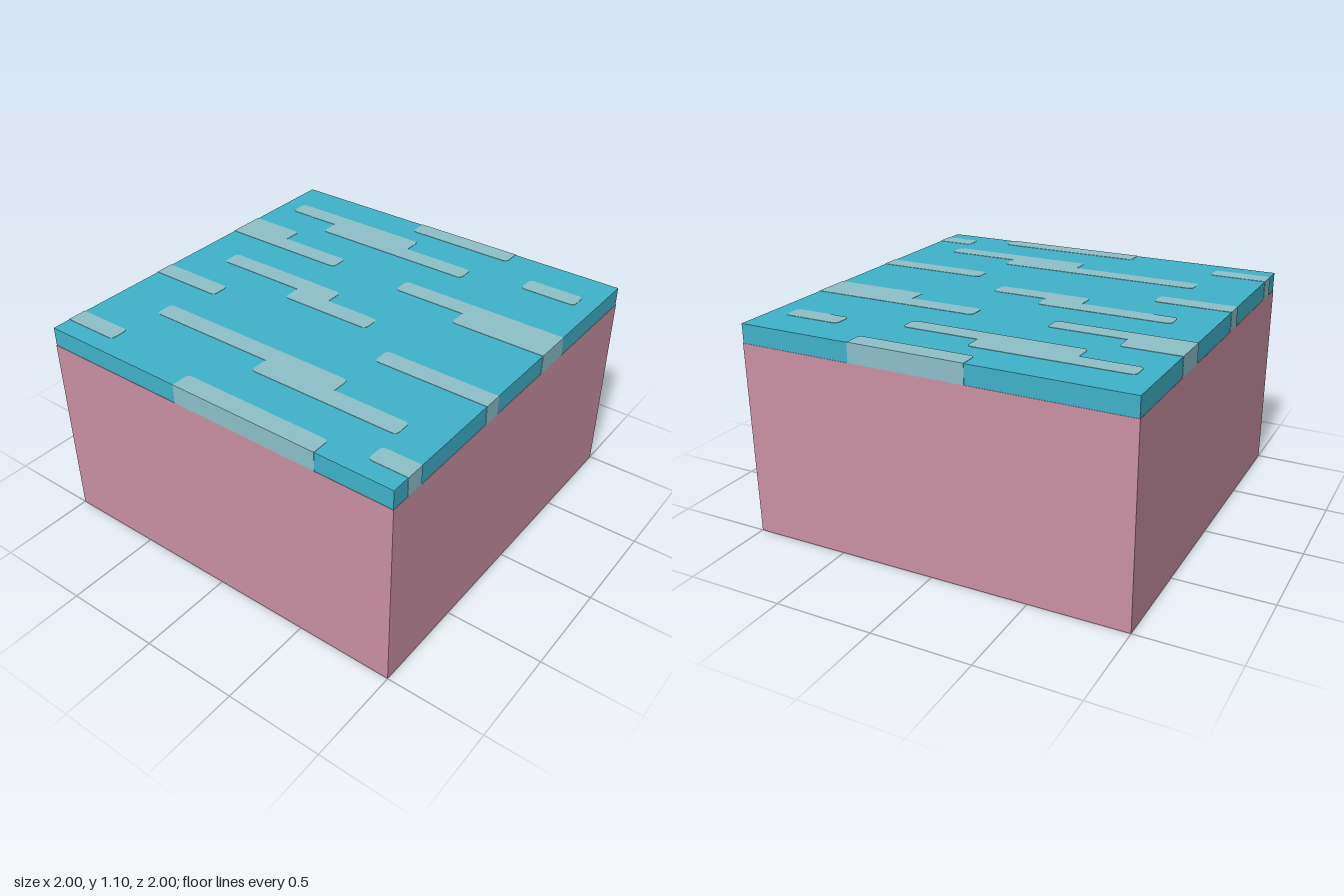
import * as THREE from 'three';

const GROUND_TOP = 1, TOP = 1.1, ROW = 0.1, RADIUS = 0.025, INSET = 0.002;

// Each streak: back edge z, then the x range of each row towards the front
const STREAKS = [
  [-1.0, [-0.2, 0.4]],
  [-0.8, [-0.9, -0.1], [-0.6, 0.3]],
  [-0.8, [0.6, 0.9]],
  [-0.5, [-1, -0.7], [-1, -0.3]],
  [-0.4, [0.1, 1], [0.5, 1]],
  [-0.1, [-0.8, -0.1], [-0.3, 0.2]],
  [0.2, [-1, -0.6]],
  [0.2, [0.4, 1]],
  [0.5, [-0.7, 0.4], [0, 0.8]],
  [0.8, [-1, -0.7]],
  [0.8, [0.8, 1]],
  [0.9, [-0.2, 0.6]],
];

// Stepped outline with rounded outer corners, square where it meets the block edge
function streakShape(z0, rows) {
  const right = [], left = [];
  rows.forEach(([a, b], i) => {
    const za = z0 + i * ROW, zb = za + ROW;
    right.push([b, -za], [b, -zb]);
    left.unshift([a, -zb], [a, -za]);
  });
  const points = [...right, ...left].map(([x, y]) => new THREE.Vector2(x, y));
  const corners = points.filter((p, i) => p.distanceTo(points[(i + 1) % points.length]) > 1e-6);
  const shape = new THREE.Shape();
  corners.forEach((p, i) => {
    const before = corners.at(i - 1), after = corners[(i + 1) % corners.length];
    const into = p.clone().sub(before).normalize();
    const out = after.clone().sub(p).normalize();
    const onEdge = Math.max(Math.abs(p.x), Math.abs(p.y)) > 0.999;
    const r = into.cross(out) < -0.5 && !onEdge ? RADIUS : 0;
    const start = p.clone().addScaledVector(into, -r);
    const end = p.clone().addScaledVector(out, r);
    if (i === 0) shape.moveTo(start.x, start.y);
    else shape.lineTo(start.x, start.y);
    if (r) shape.quadraticCurveTo(p.x, p.y, end.x, end.y);
  });
  shape.closePath();
  return shape;
}

export function createModel() {
  const group = new THREE.Group();
  group.name = 'waterBlock';

  const material = (name, color) => {
    const m = new THREE.MeshStandardMaterial({ color });
    m.name = name;
    return m;
  };
  const pink = material('pinkGround', 0xca90a4);
  const blue = material('waterBlue', 0x40b3ca);
  const pale = material('paleFoam', 0x8dc0ca);

  const add = (name, geometry, mat, y) => {
    const mesh = new THREE.Mesh(geometry, mat);
    mesh.name = name;
    mesh.position.y = y;
    group.add(mesh);
  };

  // Ground block
  add('ground', new THREE.BoxGeometry(2, GROUND_TOP, 2), pink, GROUND_TOP / 2);

  // Water layer, a hair smaller than the streaks that run through it
  const depth = TOP - GROUND_TOP, waterHeight = depth - INSET;
  const width = 2 - 2 * INSET;
  add('water', new THREE.BoxGeometry(width, waterHeight, width), blue, GROUND_TOP + waterHeight / 2);

  // Foam streaks, the full depth of the water so they show on its sides
  STREAKS.forEach(([z0, ...rows], i) => {
    const geometry = new THREE.ExtrudeGeometry(streakShape(z0, rows), {
      depth, bevelEnabled: false, curveSegments: 4,
    });
    geometry.rotateX(-Math.PI / 2);
    add(`foamStreak${i + 1}`, geometry, pale, GROUND_TOP);
  });

  return group;
}
